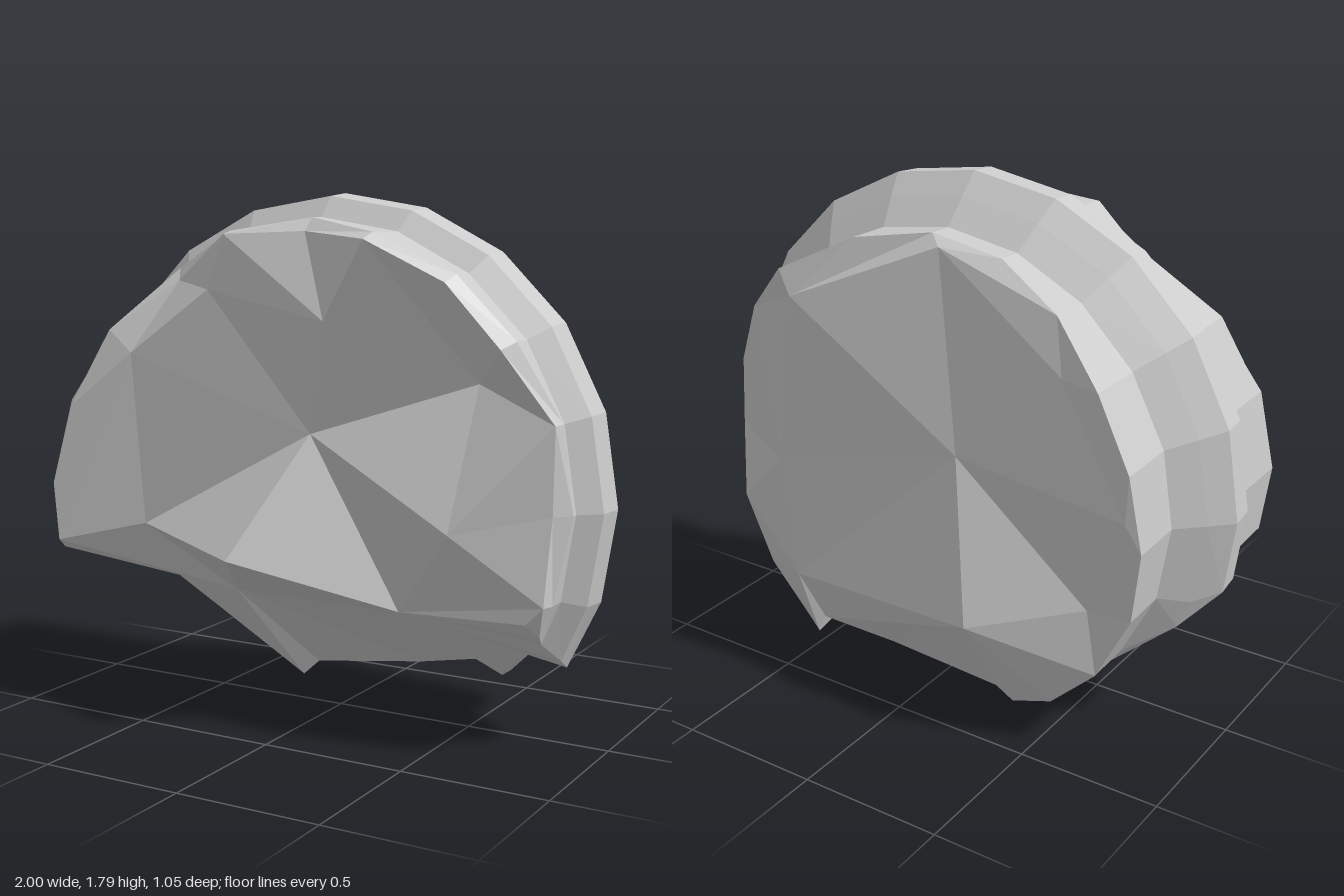
import * as THREE from 'three';

// Broken column drum lying along z: a 20-sided moulded band with fractured ends and underside.
const K0 = -4, K1 = 14, STEP = 18, CY = 0.8;

// Chipped edge depth per column, from the lower right over the top to the lower left
const frontZ = [.25, .25, .25, .25, .2, .17, .26, .27, .35, .24, .3, .23, .34, .43, .47, .47, .47, .47, .47];
const backZ = [-.36, -.35, -.34, -.33, -.27, -.3, -.36, -.44, -.34, -.27, -.27, -.33, -.4, -.41, -.39, -.36, -.36, -.32, -.25];
const chip = (i) => 0.02 * Math.sin(i * 2.7);

// Moulding profile: depth, radius, and the angles where the band breaks off
const stations = [
  { z: (i) => frontZ[i], r: (i) => .89 + chip(i), from: -23, to: 193 },
  { z: (i) => Math.max(frontZ[i] - .05, .135), r: () => .92, from: -25, to: 195 },
  { z: () => .13, r: () => .92, from: -28, to: 196 },
  { z: () => .07, r: () => .99, from: -30, to: 195 },
  { z: () => -.03, r: () => 1, from: -33, to: 195 },
  { z: () => -.1, r: () => .93, from: -36, to: 205 },
  { z: () => -.18, r: () => .845, from: -41, to: 222 },
  { z: (i) => backZ[i], r: () => .85, from: -57, to: 249 },
];

function ring(s) {
  const pts = [];
  const first = Math.ceil(s.from / STEP) - 1 - K0, last = Math.floor(s.to / STEP) + 1 - K0;
  for (let k = K0; k <= K1; k++) {
    const i = THREE.MathUtils.clamp(k - K0, first, last);
    const a = THREE.MathUtils.degToRad(THREE.MathUtils.clamp(k * STEP, s.from, s.to));
    pts.push(new THREE.Vector3(s.r(i) * Math.cos(a), CY + s.r(i) * Math.sin(a), s.z(i)));
  }
  return pts;
}

// Collects triangles, skipping those collapsed at the broken ends
function surface() {
  const pos = [], t = new THREE.Triangle();
  const tri = (a, b, c, flip = false) => {
    t.set(a, b, c);
    if (t.getArea() < 1e-6) return;
    for (const p of flip ? [a, c, b] : [a, b, c]) pos.push(p.x, p.y, p.z);
  };
  const fan = (c, loop, flip) => {
    for (let i = 0; i + 1 < loop.length; i++) tri(c, loop[i], loop[i + 1], flip);
  };
  // Joins an inner and an outer chain, both counter-clockwise, stepping by angle
  const zip = (inner, outer, flip) => {
    const angle = (p) => {
      const a = Math.atan2(p.y - .85, p.x);
      return a < -Math.PI / 2 ? a + 2 * Math.PI : a;
    };
    let i = 0, j = 0;
    while (i < inner.length - 1 || j < outer.length - 1) {
      const stepOuter = i === inner.length - 1 ||
        (j < outer.length - 1 && angle(outer[j + 1]) < angle(inner[i + 1]));
      if (stepOuter) { tri(inner[i], outer[j], outer[j + 1], flip); j++; }
      else { tri(inner[i], outer[j], inner[i + 1], flip); i++; }
    }
  };
  const mesh = (name) => {
    const g = new THREE.BufferGeometry();
    g.setAttribute('position', new THREE.Float32BufferAttribute(pos, 3));
    g.computeVertexNormals();
    const m = new THREE.Mesh(g, new THREE.MeshStandardMaterial({ color: 0xcccccc, flatShading: true }));
    m.name = name;
    return m;
  };
  return { tri, fan, zip, mesh };
}

export function createModel() {
  const group = new THREE.Group();
  group.name = 'brokenColumnDrum';
  const V = (x, y, z) => new THREE.Vector3(x, y, z);
  const rings = stations.map(ring);
  const front = rings[0], back = rings[rings.length - 1];

  // Moulded outer band
  const band = surface();
  for (let s = 0; s + 1 < rings.length; s++) {
    const p = rings[s], q = rings[s + 1];
    for (let i = 0; i + 1 < p.length; i++) {
      band.tri(p[i], q[i], p[i + 1]);
      band.tri(p[i + 1], q[i], q[i + 1]);
    }
  }
  group.add(band.mesh('mouldedBand'));

  // Fractured front face: a hollow centre, a ring of ridges, then the chipped rim
  const lowLeft = V(-.57, .67, .37), lowMid = V(-.14, .61, .52), lowRight = V(.28, .4, .1);
  const ridge = [lowRight, V(.56, .73, .31), V(.57, 1.19, .1), V(.12, 1.39, .33),
    V(-.34, 1.48, .31), V(-.62, 1.26, .37), lowLeft];
  const face = surface();
  face.fan(V(.03, 1.01, .26), [...ridge, lowMid, lowRight]);
  face.zip(ridge, front);
  group.add(face.mesh('frontFracture'));

  // Fractured back face: a raised centre, a ring of ridges and a lump jutting out low down
  const lump = V(-.29, .43, -.53);
  const backEdge = [V(-.25, .06, -.27), V(.17, .11, -.3), V(.44, .15, -.35)];
  const rearRidge = [V(.49, .35, -.43), V(.55, .78, -.42), V(.46, 1.4, -.44), V(-.05, 1.62, -.31),
    V(-.55, 1.31, -.38), V(-.8, .9, -.41), V(-.65, .53, -.36)];
  const rightCorner = rearRidge[0], leftCorner = rearRidge[rearRidge.length - 1];
  const right = -2 - K0, left = 12 - K0;
  const rear = surface();
  rear.fan(V(-.18, .97, -.41), [...rearRidge, lump, rightCorner], true);
  rear.zip(rearRidge, back.slice(right, left + 1), true);
  rear.fan(lump, [leftCorner, ...back.slice(left), ...backEdge, rightCorner], true);
  rear.fan(rightCorner, [backEdge[2], ...back.slice(0, right + 1)], true);
  group.add(rear.mesh('backFracture'));

  // Sloping broken underside
  const belly = V(-.37, .4, .1);
  const leftEnds = rings.map((r) => r[r.length - 1]);
  const rightEnds = rings.map((r) => r[0]).reverse();
  const under = surface();
  under.fan(belly, [lowRight, lowMid, lowLeft, ...leftEnds, backEdge[0], backEdge[1]]);
  under.fan(lowRight, [belly, backEdge[1], backEdge[2], ...rightEnds]);
  group.add(under.mesh('brokenUnderside'));

  return group;
}
